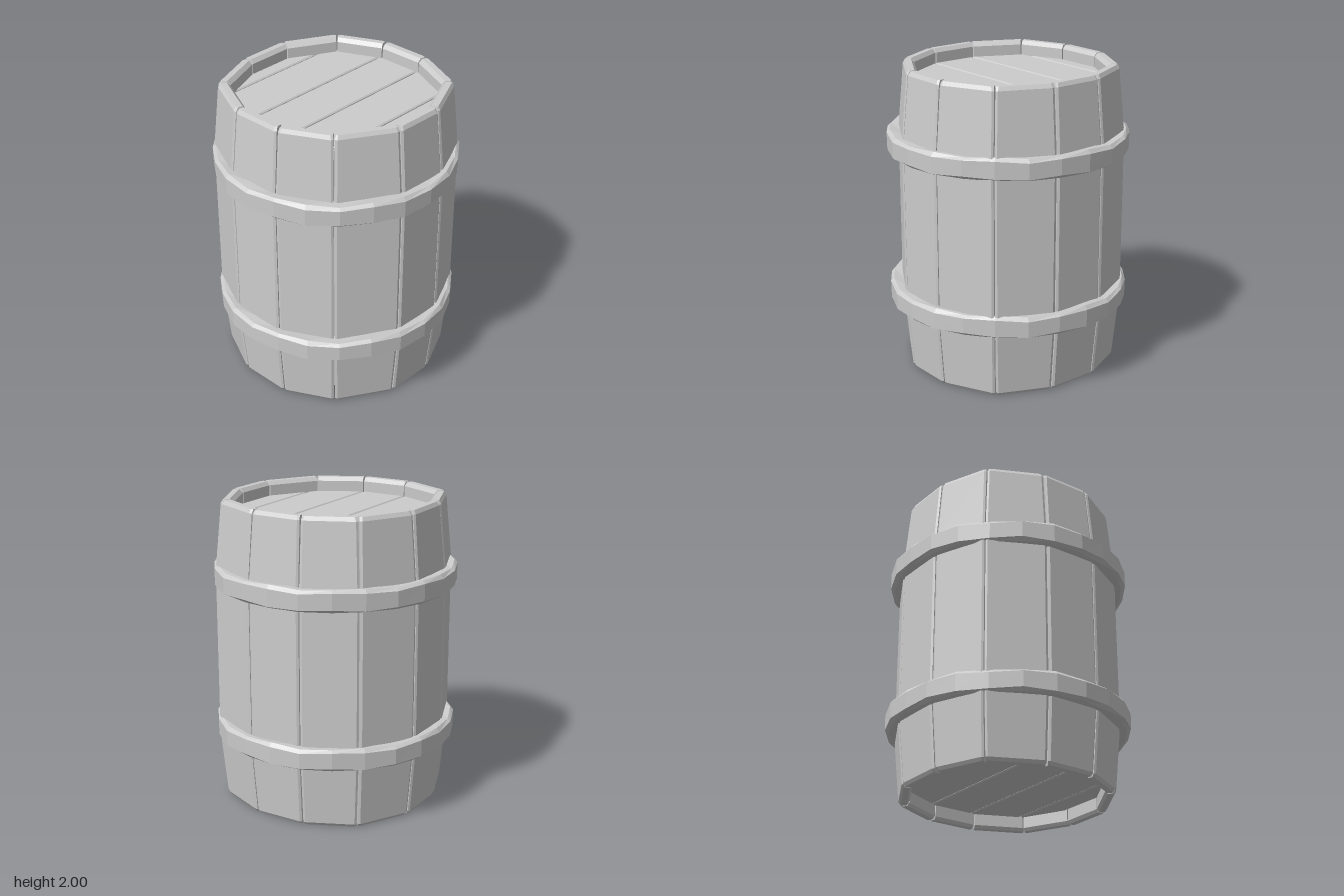
import * as THREE from 'three';

const wood = new THREE.MeshStandardMaterial({ color: 0xcccccc, flatShading: true });
wood.name = 'plain grey';

// Joins rings of [x, y, z] points, listed from bottom to top, into one faceted skin.
function loft(rings, capped = true) {
  const pos = [];
  const tri = (a, b, c) => pos.push(...a, ...b, ...c);
  const n = rings[0].length;
  for (let k = 0; k + 1 < rings.length; k++) {
    for (let i = 0; i < n; i++) {
      const j = (i + 1) % n, a = rings[k], b = rings[k + 1];
      tri(a[i], b[i], a[j]);
      tri(a[j], b[i], b[j]);
    }
  }
  if (capped) {
    const lo = rings[0], hi = rings[rings.length - 1];
    for (let i = 1; i + 1 < n; i++) {
      tri(lo[0], lo[i], lo[i + 1]);
      tri(hi[0], hi[i + 1], hi[i]);
    }
  }
  const g = new THREE.BufferGeometry();
  g.setAttribute('position', new THREE.Float32BufferAttribute(pos, 3));
  g.computeVertexNormals();
  return g;
}

function add(parent, name, geometry) {
  const m = new THREE.Mesh(geometry, wood);
  m.name = name;
  parent.add(m);
}

// Outer corners [x, z] of the uneven staves at the waist, going from +x towards +z
const joints = [
  [0.715, 0.17], [0.49, 0.535], [0.16, 0.705], [-0.215, 0.705], [-0.575, 0.53], [-0.71, 0.175],
  [-0.71, -0.2], [-0.515, -0.555], [-0.175, -0.712], [0.195, -0.712], [0.557, -0.55], [0.722, -0.19],
];
const edges = joints.map((p, i) => [p, joints[(i + 1) % joints.length]]);

// Height, outer scale, inner scale, side inset
const staveLevels = [
  [0.0, 0.925, 0.87, 0.008],
  [0.02, 0.945, 0.85, 0.004],
  [0.45, 1.0, 0.845, 0.003],
  [1.55, 1.0, 0.845, 0.003],
  [1.975, 0.945, 0.84, 0.004],
  [2.0, 0.925, 0.87, 0.008],
];

// One stave: a chamfered plank section between two joints, lofted along the barrel profile
function stave([p, q]) {
  const len = Math.hypot(q[0] - p[0], q[1] - p[1]);
  const u = [(q[0] - p[0]) / len, (q[1] - p[1]) / len];
  const rings = staveLevels.map(([y, so, si, inset]) => {
    const c = 0.013;
    // scale towards the axis, then shift along the face
    const at = (corner, s, shift) => [corner[0] * s + u[0] * shift, y, corner[1] * s + u[1] * shift];
    return [
      at(p, so - c, inset), at(p, so, inset + c * 1.2), at(q, so, -inset - c * 1.2),
      at(q, so - c, -inset), at(q, si, -inset), at(p, si, inset),
    ];
  });
  return loft(rings);
}

// Hammered hoop: a bevelled band with slightly uneven edges
function hoop(y) {
  const section = [
    [0.69, -0.065], [0.762, -0.07], [0.787, -0.054],
    [0.789, 0.052], [0.768, 0.072], [0.69, 0.066],
  ];
  const n = 24;
  const rings = section.map(([r, h], k) => Array.from({ length: n }, (_, i) => {
    const a = (i / n) * Math.PI * 2;
    const edge = k > 1 && k < 5 ? 0.007 * Math.sin(i * 2.3 + k) : 0;
    const rr = r + (k > 0 && k < 5 ? 0.004 * Math.sin(i * 1.9 + 1) : 0);
    return [rr * Math.cos(a), y + h + edge, rr * Math.sin(a)];
  }));
  return loft(rings, false);
}

// Distance along z from the middle to the opening's wall at x, on one side
const lidScale = 0.89;
function wallZ(x, side) {
  const X = x / lidScale;
  const [p, q] = edges.find(([a, b]) => (a[1] + b[1]) * side > 0.1 && (a[0] - X) * (b[0] - X) <= 0);
  return lidScale * (p[1] + ((q[1] - p[1]) * (X - p[0])) / (q[0] - p[0]));
}

// Lid board running along z, trimmed to the opening
function board(x0, x1, yLow, yHigh, bevelTop) {
  const outline = (inset, y) => {
    const l = x0 + inset, r = x1 - inset, steps = 6, pts = [];
    for (const side of [1, -1]) {
      for (let i = 0; i <= steps; i++) {
        const f = i / steps;
        const x = side > 0 ? r + (l - r) * f : l + (r - l) * f;
        pts.push([x, y, wallZ(x, side) - side * inset]);
      }
    }
    return pts;
  };
  const b = 0.008;
  return loft(bevelTop
    ? [outline(0, yLow), outline(0, yHigh - b), outline(b, yHigh)]
    : [outline(b, yLow), outline(0, yLow + b), outline(0, yHigh)]);
}

export function createModel() {
  const barrel = new THREE.Group();
  barrel.name = 'barrel';

  // Ring of staves
  const staves = new THREE.Group();
  staves.name = 'staves';
  barrel.add(staves);
  edges.forEach((edge) => add(staves, 'stave', stave(edge)));

  // Two hoops
  add(barrel, 'lowerHoop', hoop(0.485));
  add(barrel, 'upperHoop', hoop(1.505));

  // Boards of the top and bottom lids
  const cuts = [-0.61, -0.505, -0.175, 0.14, 0.455, 0.615];
  for (const top of [true, false]) {
    const lid = new THREE.Group();
    lid.name = top ? 'topLid' : 'bottomLid';
    barrel.add(lid);
    for (let i = 0; i + 1 < cuts.length; i++) {
      const x0 = cuts[i] + 0.004, x1 = cuts[i + 1] - 0.004;
      add(lid, 'lidBoard', top ? board(x0, x1, 1.84, 1.905, true) : board(x0, x1, 0.095, 0.16, false));
    }
  }

  // Closed lining behind the joints
  const lining = [0.115, 1.885].map((y) => joints.map(([x, z]) => [x * lidScale, y, z * lidScale]));
  add(barrel, 'innerLining', loft(lining));

  return barrel;
}
